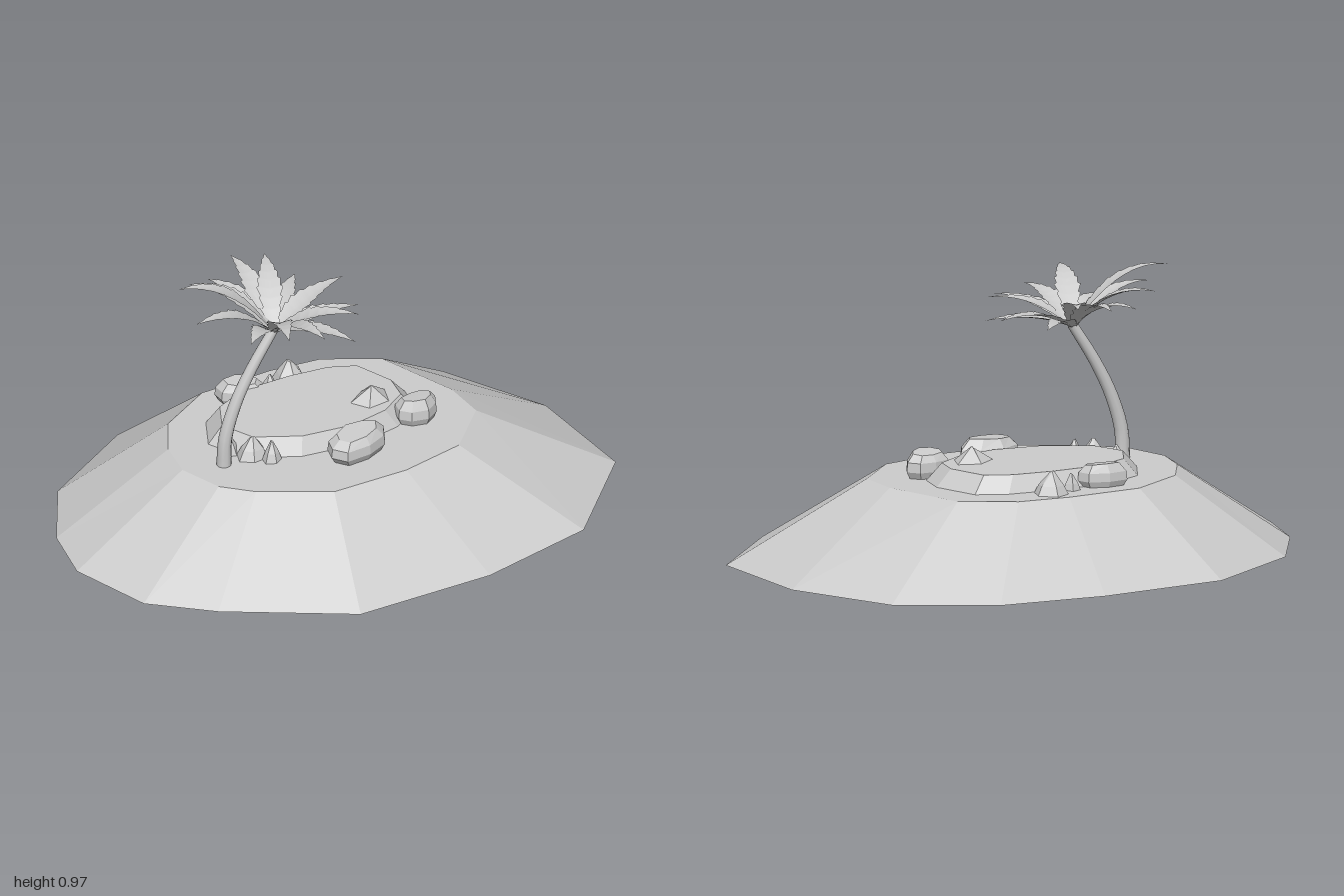
import * as THREE from 'three';

const grey = new THREE.MeshStandardMaterial({ color: 0xcccccc, side: THREE.DoubleSide });
const V = (x, y, z) => new THREE.Vector3(x, y, z);

// Flat-faceted solid through a stack of rings with equal point counts, capped at both ends
function loft(rings) {
  const pos = [];
  const tri = (...p) => p.forEach(v => pos.push(v.x, v.y, v.z));
  const n = rings[0].length;
  const centre = ring => ring.reduce((s, p) => s.add(p), V(0, 0, 0)).divideScalar(n);
  const first = rings[0], last = rings[rings.length - 1];
  const c0 = centre(first), c1 = centre(last);
  for (let i = 0; i < n; i++) {
    const j = (i + 1) % n;
    tri(c0, first[i], first[j]);
    tri(c1, last[j], last[i]);
    for (let k = 0; k + 1 < rings.length; k++) {
      const a = rings[k], b = rings[k + 1];
      tri(a[i], b[i], a[j]);
      tri(a[j], b[i], b[j]);
    }
  }
  const g = new THREE.BufferGeometry();
  g.setAttribute('position', new THREE.Float32BufferAttribute(pos, 3));
  g.computeVertexNormals();
  return g;
}

const outline = (pts, y) => pts.map(([x, z]) => V(x, y, z));

// Boulder: irregular ring scaled per level, w/d half sizes, [height fraction, scale] levels
function rock(x, y, z, w, h, d, turn, sides, levels, seed) {
  const rings = levels.map(([t, s], k) => Array.from({ length: sides }, (_, i) => {
    const a = i / sides * Math.PI * 2;
    const r = s * (1 + 0.08 * Math.sin(seed + i * 2.3));
    const lift = k === levels.length - 1 ? 0.06 * h * Math.sin(seed * 2 + a) : 0;
    return V(Math.cos(a) * w * r, t * h + lift, Math.sin(a) * d * r)
      .applyAxisAngle(V(0, 1, 0), turn).add(V(x, y, z));
  }));
  return loft(rings);
}
const boulder = [[0, 0.82], [0.3, 1], [0.65, 0.96], [0.96, 0.68]];
const wedge = [[0, 1], [0.45, 0.7], [1, 0.14]];
const spike = [[0, 1], [1, 0.02]];

// Tapered curved trunk with smooth sides
function trunkGeometry(curve, r0, r1) {
  const seg = 14, sides = 10;
  const g = new THREE.TubeGeometry(curve, seg, 1, sides, false);
  const p = g.attributes.position, v = V(0, 0, 0);
  for (let i = 0; i <= seg; i++) {
    const c = curve.getPointAt(i / seg), r = r0 + (r1 - r0) * i / seg;
    for (let j = 0; j <= sides; j++) {
      const k = i * (sides + 1) + j;
      v.fromBufferAttribute(p, k).sub(c).multiplyScalar(r).add(c);
      p.setXYZ(k, v.x, v.y, v.z);
    }
  }
  return g;
}

// Arched leaf with a shallow centre fold and toothed margins
function leafGeometry(base, tip, halfWidth) {
  const mid = base.clone().lerp(tip, 0.45).setY(tip.y + 0.02);
  const curve = new THREE.QuadraticBezierCurve3(base, mid, tip);
  const side = V(-(tip.z - base.z), 0, tip.x - base.x).normalize();
  const teeth = 9, pos = [], idx = [];
  const row = (t, w) => {
    const c = curve.getPoint(t);
    for (const s of [-1, 0, 1])
      pos.push(c.x + side.x * w * s, c.y + Math.abs(s) * w * 0.25, c.z + side.z * w * s);
  };
  const width = t => halfWidth * (t < 0.4 ? 0.4 + 1.5 * t : 1 - Math.pow((t - 0.4) / 0.6, 1.3));
  for (let i = 0; i < teeth; i++) {
    row(i / teeth, width(i / teeth) * 0.86);
    row((i + 0.8) / teeth, width((i + 0.8) / teeth) * 1.06);
  }
  row(1, 0);
  for (let i = 0; i < teeth * 2; i++)
    for (const s of [0, 1]) {
      const a = i * 3 + s, b = a + 3;
      idx.push(a, a + 1, b, a + 1, b + 1, b);
    }
  const g = new THREE.BufferGeometry();
  g.setAttribute('position', new THREE.Float32BufferAttribute(pos, 3));
  g.setIndex(idx);
  g.computeVertexNormals();
  return g;
}

export function createModel() {
  const model = new THREE.Group();
  const add = (name, geometry, parent = model) => {
    const m = new THREE.Mesh(geometry, grey);
    m.name = name;
    parent.add(m);
  };
  const group = name => {
    const g = new THREE.Group();
    g.name = name;
    model.add(g);
    return g;
  };

  // Sloping island mound
  const foot = [[-1, 0.07], [-0.96, -0.17], [-0.81, -0.46], [-0.45, -0.72], [0.02, -0.785], [0.41, -0.775],
    [0.75, -0.615], [0.96, -0.245], [1, 0.215], [0.69, 0.59], [0.26, 0.73], [-0.26, 0.775], [-0.69, 0.54], [-0.895, 0.375]];
  const brow = [[-0.58, 0.04], [-0.56, -0.11], [-0.48, -0.27], [-0.28, -0.41], [0, -0.445], [0.19, -0.44],
    [0.38, -0.35], [0.5, -0.05], [0.51, 0.12], [0.35, 0.31], [0.11, 0.385], [-0.18, 0.41], [-0.42, 0.29], [-0.52, 0.2]];
  add('island', loft([outline(foot, 0), outline(brow, 0.28)]));

  // Raised plateau on top
  const rim = [[-0.42, -0.08], [-0.36, -0.22], [-0.22, -0.3], [0, -0.32], [0.17, -0.315], [0.28, -0.275],
    [0.35, -0.11], [0.335, 0.01], [0.22, 0.1], [0.05, 0.15], [-0.17, 0.14], [-0.35, 0.06]];
  const inner = rim.map(([x, z]) => [-0.04 + (x + 0.04) * 0.86, -0.09 + (z + 0.09) * 0.86]);
  add('plateau', loft([outline(rim, 0.28), outline(inner, 0.34)]));

  // Rocks around the plateau
  const rocks = group('rocks');
  [
    ['frontBoulder', 0.01, 0.275, 0.2, 0.125, 0.095, 0.075, 0.3, 8, boulder, 1],
    ['rightBoulder', 0.305, 0.275, 0.075, 0.085, 0.095, 0.06, 0.25, 8, boulder, 3],
    ['backBoulder', -0.18, 0.275, -0.31, 0.09, 0.085, 0.055, -0.15, 7, boulder, 5],
    ['backWedge', 0.03, 0.275, -0.36, 0.065, 0.08, 0.07, 0.4, 6, wedge, 2],
    ['backPebble', -0.06, 0.275, -0.33, 0.035, 0.06, 0.04, 0, 5, wedge, 4],
    ['pointedRock', 0.175, 0.33, -0.02, 0.09, 0.06, 0.075, 0.5, 5, spike, 1],
    ['leftRock', -0.32, 0.28, 0.06, 0.06, 0.075, 0.05, 0.3, 6, wedge, 6],
    ['leftPebble', -0.38, 0.28, 0.0, 0.04, 0.06, 0.04, 0, 5, wedge, 3],
    ['leftStone', -0.27, 0.28, 0.11, 0.04, 0.07, 0.035, 0.6, 6, wedge, 8],
  ].forEach(([name, ...spec]) => add(name, rock(...spec), rocks));

  // Leaning palm trunk
  const top = V(-0.245, 0.765, 0.07);
  add('palmTrunk', trunkGeometry(new THREE.CatmullRomCurve3([
    V(-0.435, 0.27, 0.07), V(-0.43, 0.38, 0.07), V(-0.39, 0.51, 0.07), V(-0.33, 0.63, 0.07), top,
  ]), 0.026, 0.018));

  // Palm crown: leaf tips as x, y, z
  const crown = group('palmCrown');
  const base = V(-0.245, 0.755, 0.07);
  [
    [-0.57, 0.965, -0.01], [-0.56, 0.885, 0.11], [-0.47, 0.9, -0.13], [-0.365, 0.86, -0.2], [-0.235, 0.88, -0.28],
    [-0.13, 0.885, -0.23], [-0.04, 0.81, -0.175], [0.085, 0.83, -0.055], [0.07, 0.8, 0.1], [0.0, 0.85, 0.24],
    [-0.08, 0.83, 0.375], [-0.19, 0.86, 0.36], [-0.345, 0.91, 0.395], [-0.41, 0.83, 0.23],
  ].forEach(([x, y, z]) => add('palmLeaf', leafGeometry(base, V(x, y, z), 0.045), crown));

  return model;
}
